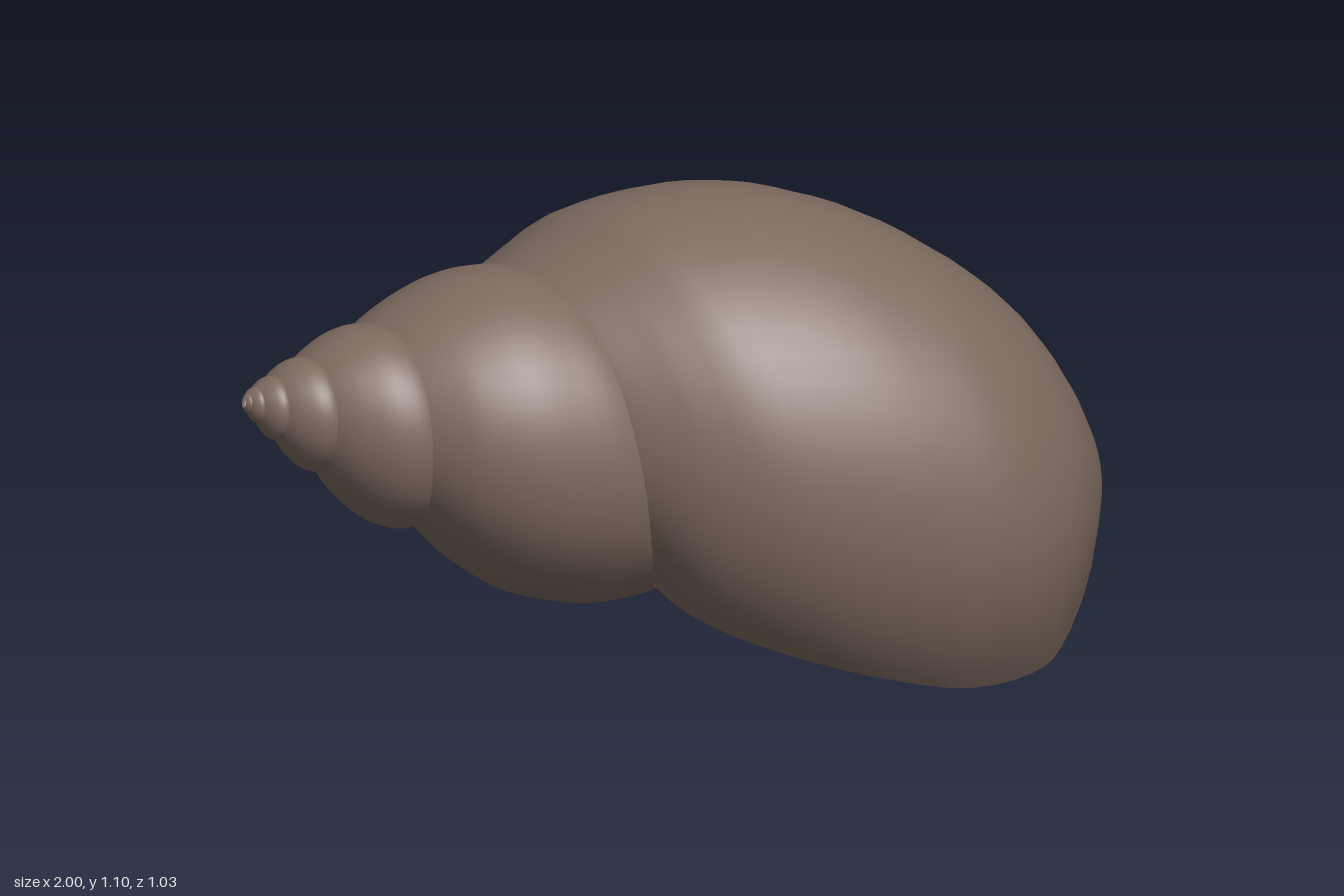
import * as THREE from 'three';

// Coiling axis: apex, direction, and the two radial directions (top, front)
const APEX = new THREE.Vector3(-1, 0.77, 0.25);
const AXIS = new THREE.Vector3(1, -0.235, -0.29).normalize();
const TOP = new THREE.Vector3(0, 1, 0).addScaledVector(AXIS, -AXIS.y).normalize();
const FRONT = new THREE.Vector3().crossVectors(AXIS, TOP);

// Growth per whorl along the axis and across it
const GROWTH_LENGTH = 2.04, GROWTH_RADIUS = 1.78;
const FIRST = -360;  // angle of the first key section
const LIP = 180;     // nominal angle of the last one

// Whorl sections every quarter turn: [distance along axis, radius], suture to columella
const KEYS = [
  [[.326, .20], [.365, .238], [.42, .28], [.50, .327], [.58, .353], [.67, .355], [.80, .30], [.95, .18], [1.10, .07], [1.25, .02]],
  [[.38, .228], [.43, .275], [.49, .32], [.59, .365], [.70, .385], [.84, .39], [1.0, .33], [1.2, .20], [1.4, .09], [1.65, .02]],
  [[.50, .262], [.55, .30], [.62, .343], [.737, .392], [.86, .408], [.98, .403], [1.15, .35], [1.43, .21], [1.66, .09], [1.85, .02]],
  [[.575, .305], [.63, .355], [.70, .403], [.80, .447], [.99, .475], [1.197, .452], [1.40, .345], [1.61, .21], [1.78, .10], [1.92, .02]],
  [[.666, .354], [.71, .393], [.77, .445], [.86, .513], [1.06, .577], [1.25, .588], [1.48, .54], [1.75, .405], [1.93, .21], [1.98, .05]],
  [[.83, .39], [.89, .447], [.97, .51], [1.1, .583], [1.3, .637], [1.5, .66], [1.68, .643], [1.88, .525], [2.03, .31], [2.05, .09]],
  [[1.052, .393], [1.104, .472], [1.195, .533], [1.34, .595], [1.489, .638], [1.695, .66], [1.876, .613], [1.973, .52], [2.052, .321], [2.054, .137]],
];
// Real angle at which the lip ends, for each point of the section
const LIP_ANGLE = [145, 137, 133.4, 130.3, 128.4, 127.2, 125.7, 122, 99, 67];

// Smaller copy of the first key, a number of turns earlier
const earlier = (turns) => KEYS[0].map(([s, r]) => [s * GROWTH_LENGTH ** turns, r * GROWTH_RADIUS ** turns]);

function keyAt(i) {
  if (i < 0) return earlier(i / 4);
  if (i < KEYS.length) return KEYS[i];
  const a = KEYS[KEYS.length - 1], b = KEYS[KEYS.length - 2];
  return a.map((p, j) => [2 * p[0] - b[j][0], 2 * p[1] - b[j][1]]);
}

function catmull(a, b, c, d, t) {
  return b + 0.5 * t * (c - a + t * (2 * a - 5 * b + 4 * c - d + t * (3 * (b - c) + d - a)));
}

// Section at any angle
function sectionAt(deg) {
  if (deg <= FIRST) return earlier((deg - FIRST) / 360);
  const f = (deg - FIRST) / 90;
  const i = Math.min(Math.floor(f), KEYS.length - 2);
  const [a, b, c, d] = [i - 1, i, i + 1, i + 2].map(keyAt);
  return b.map((p, j) => [0, 1].map((k) => catmull(a[j][k], p[k], c[j][k], d[j][k], f - i)));
}

const COLS = 36;

// One row of points across the whorl
function row(deg, inner) {
  const pts = sectionAt(deg).map(([s, r], j) => new THREE.Vector3(s, r, LIP_ANGLE[j]));
  // tuck the suture edge under the previous whorl
  pts.unshift(new THREE.Vector3(pts[0].x * 0.98, pts[0].y * 0.95, LIP_ANGLE[0]));
  const curve = new THREE.CatmullRomCurve3(pts, false, 'catmullrom');
  return curve.getPoints(COLS).map(({ x, y, z }) => {
    const pull = deg > 0 ? (LIP - z) * (deg / LIP) ** 2 : 0;
    const a = THREE.MathUtils.degToRad(deg - pull);
    const s = inner ? x * 0.99 : x;
    const r = inner ? y * 0.955 : y;
    return APEX.clone().addScaledVector(AXIS, s)
      .addScaledVector(TOP, r * Math.cos(a))
      .addScaledVector(FRONT, r * Math.sin(a));
  });
}

// Skin a list of rows
function skin(rows, flip = false) {
  const pos = [], index = [], n = rows[0].length;
  rows.forEach((points) => points.forEach((p) => pos.push(p.x, p.y, p.z)));
  for (let i = 0; i < rows.length - 1; i++) {
    for (let j = 0; j < n - 1; j++) {
      const a = i * n + j, b = a + n, c = a + 1, d = b + 1;
      if (flip) index.push(a, c, b, b, c, d);
      else index.push(a, b, c, b, d, c);
    }
  }
  const g = new THREE.BufferGeometry();
  g.setAttribute('position', new THREE.Float32BufferAttribute(pos, 3));
  g.setIndex(index);
  g.computeVertexNormals();
  return g;
}

function rowsBetween(from, to, inner) {
  const rows = [];
  for (let deg = from; deg <= to; deg += 7.5) rows.push(row(deg, inner));
  return rows;
}

export function createModel() {
  const shellBrown = new THREE.MeshStandardMaterial({ color: 0x7d6a5f, side: THREE.DoubleSide });
  shellBrown.name = 'shell brown';
  const innerBrown = new THREE.MeshStandardMaterial({ color: 0x937d71, side: THREE.DoubleSide });
  innerBrown.name = 'inner brown';

  const shell = new THREE.Group();
  shell.name = 'seaShell';
  const add = (name, geometry, material) => {
    const mesh = new THREE.Mesh(geometry, material);
    mesh.name = name;
    shell.add(mesh);
  };

  const outer = rowsBetween(FIRST - 1800, LIP, false);
  const inner = rowsBetween(-270, LIP, true);
  add('whorls', skin(outer), shellBrown);
  add('apertureLining', skin(inner, true), innerBrown);
  add('apertureLip', skin([outer[outer.length - 1], inner[inner.length - 1]]), shellBrown);
  return shell;
}
